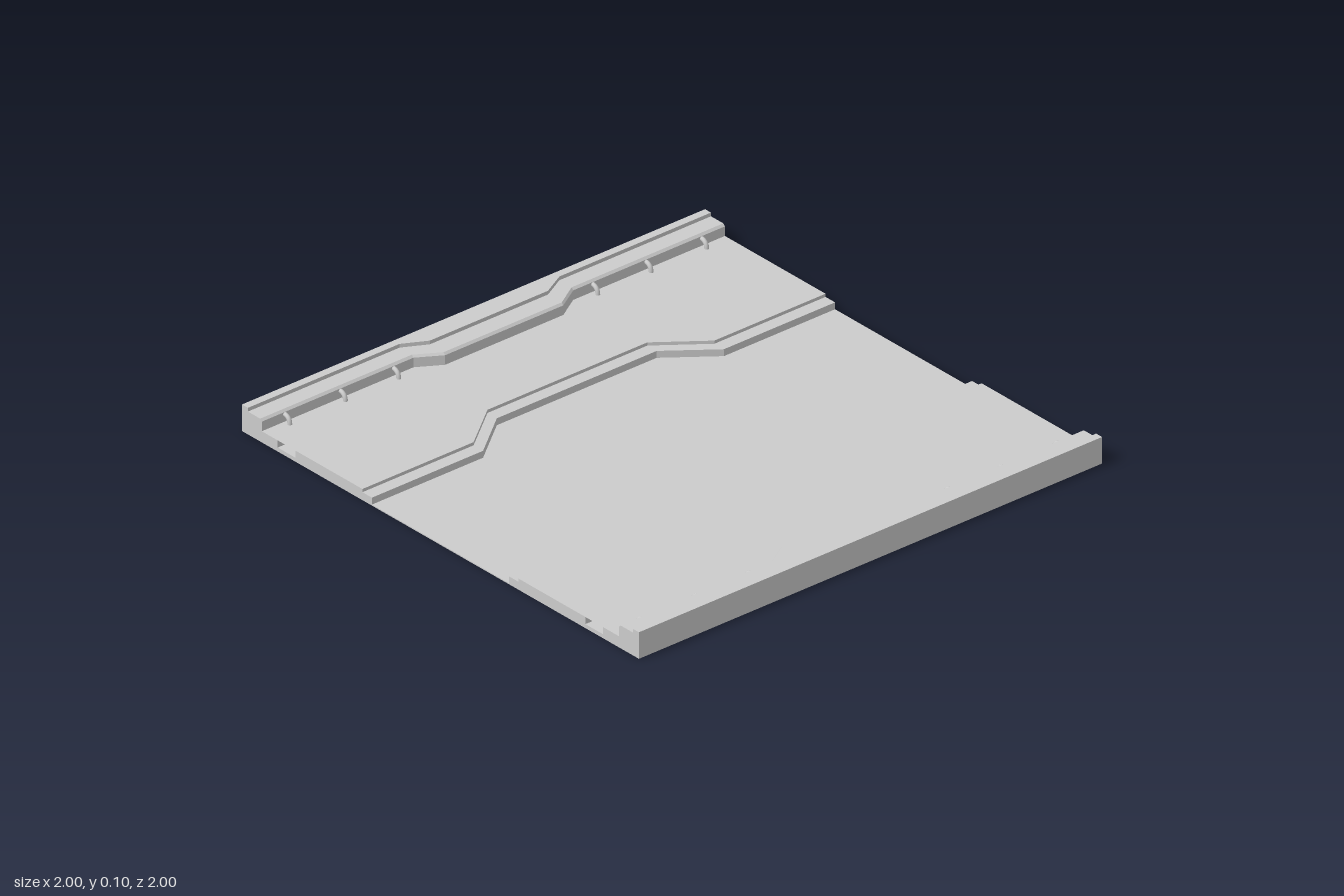
import * as THREE from 'three';

const mat = new THREE.MeshStandardMaterial({ color: 0xcccccc, flatShading: true });
const sheetMat = new THREE.MeshStandardMaterial({ color: 0xcccccc, side: THREE.DoubleSide });
const pipeMat = new THREE.MeshStandardMaterial({ color: 0xcccccc });

function add(parent, name, geometry, material = mat) {
  const mesh = new THREE.Mesh(geometry, material);
  mesh.name = name;
  parent.add(mesh);
  return mesh;
}

// Layer whose inner edge lies at zEnd near the sides, zMid in the middle,
// with diagonals between x = inner and x = outer. The top inner edge can be chamfered.
function layer(zEnd, zMid, inner, outer, zOut, y0, y1, chamfer = 0) {
  const points = [[-1, zOut], [1, zOut], [1, zEnd], [outer, zEnd], [inner, zMid],
    [-inner, zMid], [-outer, zEnd], [-1, zEnd]];
  const shape = new THREE.Shape(points.map(([x, z]) => new THREE.Vector2(x, -z)));
  const g = new THREE.ExtrudeGeometry(shape, { depth: y1 - y0, bevelEnabled: false });
  g.rotateX(-Math.PI / 2).translate(0, y0, 0);
  const p = g.attributes.position;
  for (let i = 0; i < p.count; i++) {
    if (p.getY(i) > y1 - 1e-4 && p.getZ(i) < zOut - 0.01) p.setZ(i, p.getZ(i) + chamfer);
  }
  g.computeVertexNormals();
  return g;
}

// Everything on one long side of the panel
function createSide(name) {
  const side = new THREE.Group();
  side.name = name;

  // Raised floor in two steps, with a duct running under it
  add(side, 'floorLowerLayer', layer(0.345, 0.48, 0.345, 0.52, 1, 0.004, 0.015));
  add(side, 'floorFirstStep', layer(0.345, 0.48, 0.345, 0.52, 0.73, 0.015, 0.03));
  add(side, 'floorSecondStep', layer(0.393, 0.527, 0.345, 0.52, 0.73, 0.03, 0.042));
  const cover = new THREE.PlaneGeometry(2, 0.09).rotateX(-Math.PI / 2).translate(0, 0.042, 0.775);
  add(side, 'ductCover', cover, sheetMat);
  add(side, 'wallFooting', new THREE.BoxGeometry(2, 0.027, 0.18).translate(0, 0.0285, 0.91));

  // Wall with chamfered edge and a top lip
  add(side, 'wall', layer(0.9, 0.845, 0.255, 0.345, 1, 0.042, 0.078));
  add(side, 'wallChamfer', layer(0.9, 0.845, 0.255, 0.345, 1, 0.078, 0.086, 0.008));
  add(side, 'wallLip', layer(0.97, 0.922, 0.255, 0.345, 1, 0.086, 0.1));

  // Small pipe elbows bending from the wall into the floor
  const path = new THREE.QuadraticBezierCurve3(
    new THREE.Vector3(0, 0.07, 0.905),
    new THREE.Vector3(0, 0.07, 0.875),
    new THREE.Vector3(0, 0.04, 0.875));
  const elbow = new THREE.TubeGeometry(path, 6, 0.008, 10);
  for (const s of [-1, 1]) {
    for (const x of [0.43, 0.66, 0.9]) {
      add(side, 'pipeElbow', elbow, pipeMat).position.x = s * x;
    }
  }
  return side;
}

export function createModel() {
  const model = new THREE.Group();
  model.name = 'corridorFloor';
  add(model, 'basePlate', new THREE.BoxGeometry(2, 0.004, 2).translate(0, 0.002, 0));
  model.add(createSide('frontSide'));
  const back = createSide('backSide');
  back.rotation.y = Math.PI;
  model.add(back);
  return model;
}
